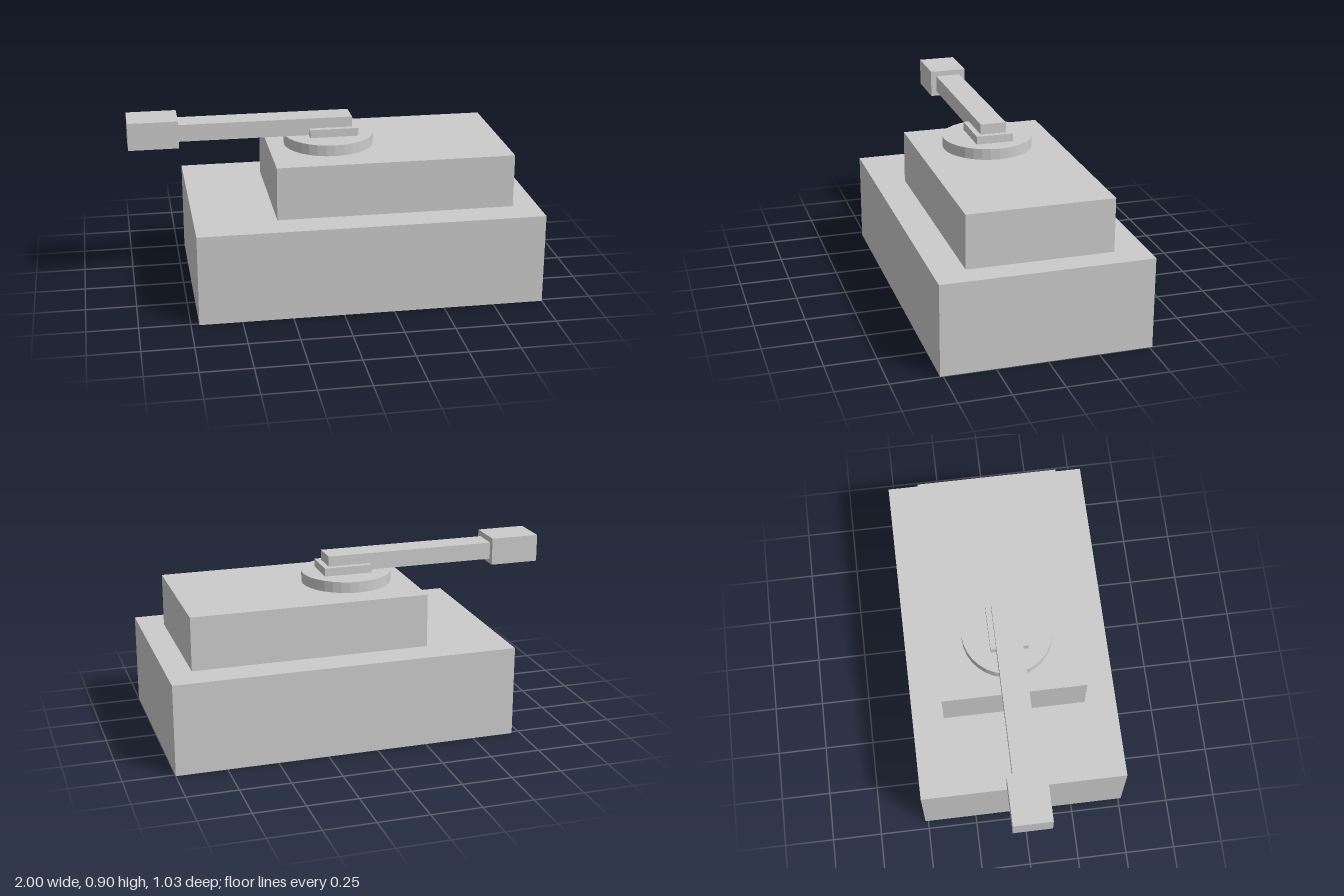
import * as THREE from 'three';

export function createModel() {
  const model = new THREE.Group();
  const material = new THREE.MeshStandardMaterial({ color: 0xcccccc, flatShading: true });

  const add = (name, geometry, x, y, z = 0) => {
    const mesh = new THREE.Mesh(geometry, material);
    mesh.name = name;
    mesh.position.set(x, y, z);
    model.add(mesh);
  };
  // Box given by its x and y extents and its depth, centred on z = 0
  const box = (name, x0, x1, y0, y1, depth) =>
    add(name, new THREE.BoxGeometry(x1 - x0, y1 - y0, depth), (x0 + x1) / 2, (y0 + y1) / 2);

  // Stepped body
  box('hull', -0.71, 1, 0, 0.455, 1.03);
  box('upperHull', -0.305, 0.875, 0.455, 0.722, 0.715);

  // Round turntable and the mount on it
  add('turntable', new THREE.CylinderGeometry(0.225, 0.225, 0.055, 32), 0.003, 0.7495);
  box('gunMount', -0.102, 0.14, 0.777, 0.818, 0.186);

  // Square barrel with a heavier muzzle block, pointing to -x
  box('barrel', -0.755, 0.113, 0.784, 0.87, 0.13);
  box('muzzle', -1, -0.752, 0.76, 0.898, 0.19);

  return model;
}
